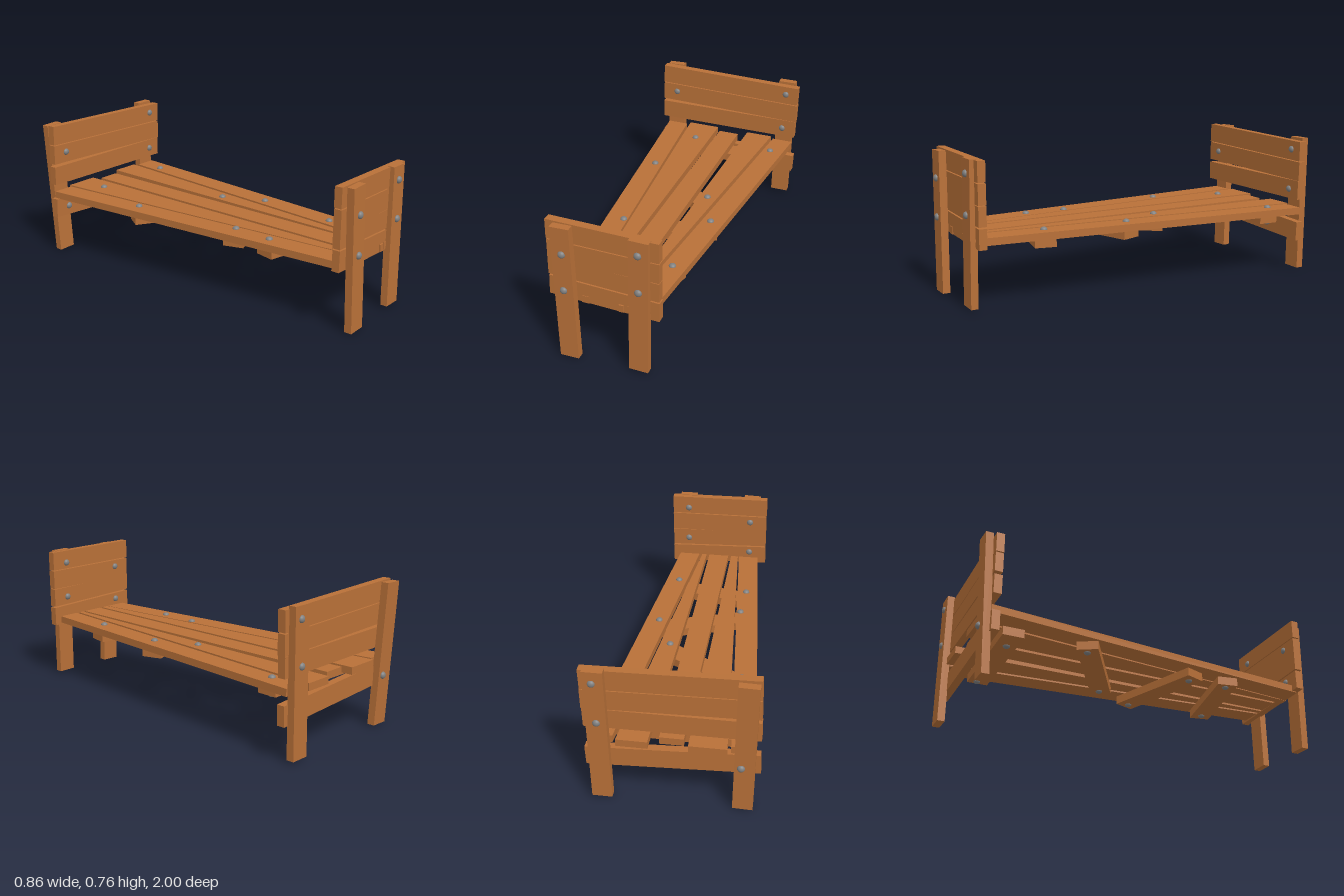
import * as THREE from 'three';

const wood = new THREE.MeshStandardMaterial({ color: 0xb87038, flatShading: true });
const steel = new THREE.MeshStandardMaterial({ color: 0x808080 });

const extrude = (points, depth) => new THREE.ExtrudeGeometry(
  new THREE.Shape(points.map(([x, y]) => new THREE.Vector2(x, y))),
  { depth, bevelEnabled: false });

function add(parent, name, geometry, material = wood) {
  const mesh = new THREE.Mesh(geometry, material);
  mesh.name = name;
  parent.add(mesh);
  return mesh;
}

// Upright timber: outline in x/y, back face at z, leaning in z by `lean` per unit height
function upright(parent, name, points, z, depth = 0.042, lean = 0) {
  const shear = new THREE.Matrix4().set(1, 0, 0, 0, 0, 1, 0, 0, 0, lean, 1, z, 0, 0, 0, 1);
  return add(parent, name, extrude(points, depth).applyMatrix4(shear));
}

// Flat timber: outline in x/z, lying between heights y and y + h
function plank(parent, name, points, y, h) {
  const geometry = extrude(points.map(([x, z]) => [x, -z]), h).rotateX(-Math.PI / 2);
  return add(parent, name, geometry.translate(0, y, 0));
}

// Domed bolt head, flattened along one axis
function bolt(parent, x, y, z, axis) {
  const head = add(parent, 'bolt', new THREE.SphereGeometry(0.019, 20, 14), steel);
  head.position.set(x, y, z);
  head.scale[axis] = 0.8;
}

export function createModel() {
  const bed = new THREE.Group();
  bed.name = 'bed';
  const [headboard, footboard, deck] = ['headboard', 'footboard', 'deck'].map((name) => {
    const part = new THREE.Group();
    part.name = name;
    bed.add(part);
    return part;
  });

  // Headboard: three crooked boards and a low rail
  [
    ['headBoard', [[-0.427, 0.655], [0.427, 0.635], [0.43, 0.743], [-0.423, 0.763]]],
    ['headBoard', [[-0.428, 0.542], [0.427, 0.524], [0.429, 0.63], [-0.425, 0.65]]],
    ['headBoard', [[-0.43, 0.419], [0.422, 0.417], [0.424, 0.523], [-0.429, 0.524]]],
    ['headRail', [[-0.432, 0.223], [0.42, 0.183], [0.424, 0.288], [-0.428, 0.33]]],
  ].forEach(([name, points]) => upright(headboard, name, points, -0.945));

  // Head legs, one leaning backwards
  upright(headboard, 'headLeg',
    [[-0.4, 0.002], [-0.3, 0.005], [-0.318, 0.76], [-0.418, 0.757]], -0.968, 0.04, -0.042);
  upright(headboard, 'headLeg',
    [[0.291, 0.013], [0.392, 0.013], [0.402, 0.76], [0.302, 0.76]], -0.982, 0.04);

  [[-0.34, 0.6], [-0.34, 0.272], [0.357, 0.696], [0.346, 0.47]].forEach(([x, y], i) => {
    bolt(headboard, x, y, -0.905, 'z');
    if (i > 0) bolt(headboard, x, y, -0.98, 'z');
  });

  // Footboard: three boards, the middle one split from its edge
  [
    [[-0.29, 0.656], [0.285, 0.65], [0.286, 0.756], [-0.289, 0.762]],
    [[-0.29, 0.452], [0.284, 0.432], [0.285, 0.535], [0.025, 0.54], [0.285, 0.539],
      [0.286, 0.645], [-0.288, 0.65]],
    [[-0.291, 0.335], [0.284, 0.318], [0.286, 0.424], [-0.287, 0.444]],
  ].forEach((points) => upright(footboard, 'footBoard', points, 0.9));

  // Foot legs
  upright(footboard, 'footLeg',
    [[-0.23, 0.003], [-0.13, 0.005], [-0.147, 0.755], [-0.247, 0.752]], 0.95, 0.04, -0.012);
  upright(footboard, 'footLeg',
    [[0.134, 0.013], [0.234, 0.012], [0.243, 0.759], [0.143, 0.76]], 0.936, 0.038, -0.012);

  [[-0.19, 0.61, 0.983], [-0.19, 0.405, 0.985], [0.19, 0.686, 0.966], [0.19, 0.48, 0.968]]
    .forEach(([x, y, z]) => {
      bolt(footboard, x, y, z, 'z');
      bolt(footboard, x, y, 0.902, 'z');
    });

  // Deck planks fanning out towards the head: [x range at head, z, x range at foot, z]
  [
    [-0.407, -0.287, -0.94, -0.243, -0.124, 0.93],
    [-0.272, -0.085, -0.965, -0.116, -0.077, 0.945],
    [-0.059, 0.061, -0.92, -0.059, 0.061, 0.925],
    [0.11, 0.265, -0.965, 0.077, 0.102, 0.95],
    [0.284, 0.404, -0.94, 0.12, 0.24, 0.945],
  ].forEach(([a, b, head, c, d, foot]) =>
    plank(deck, 'deckPlank', [[a, head], [b, head], [d, foot], [c, foot]], 0.328, 0.039));

  // Cross slats under the deck: end to end, then the two bolts that hold each
  [
    [[-0.29, -0.785], [0.338, -0.77], [-0.17, -0.78], [0.312, -0.78]],
    [[-0.315, -0.4], [0.18, -0.1], [-0.28, -0.385], [0.14, -0.13]],
    [[-0.25, 0.265], [0.275, 0.088], [-0.205, 0.248], [0.24, 0.1]],
    [[-0.25, 0.468], [0.245, 0.57], [-0.215, 0.473], [0.2, 0.56]],
  ].forEach(([a, b, ...bolts]) => {
    const dx = b[0] - a[0], dz = b[1] - a[1];
    const slat = add(deck, 'crossSlat', new THREE.BoxGeometry(Math.hypot(dx, dz), 0.046, 0.112));
    slat.position.set((a[0] + b[0]) / 2, 0.305, (a[1] + b[1]) / 2);
    slat.rotation.y = Math.atan2(-dz, dx);
    bolts.forEach(([x, z]) => {
      bolt(deck, x, 0.366, z, 'y');
      bolt(deck, x, 0.284, z, 'y');
    });
  });

  return bed;
}
